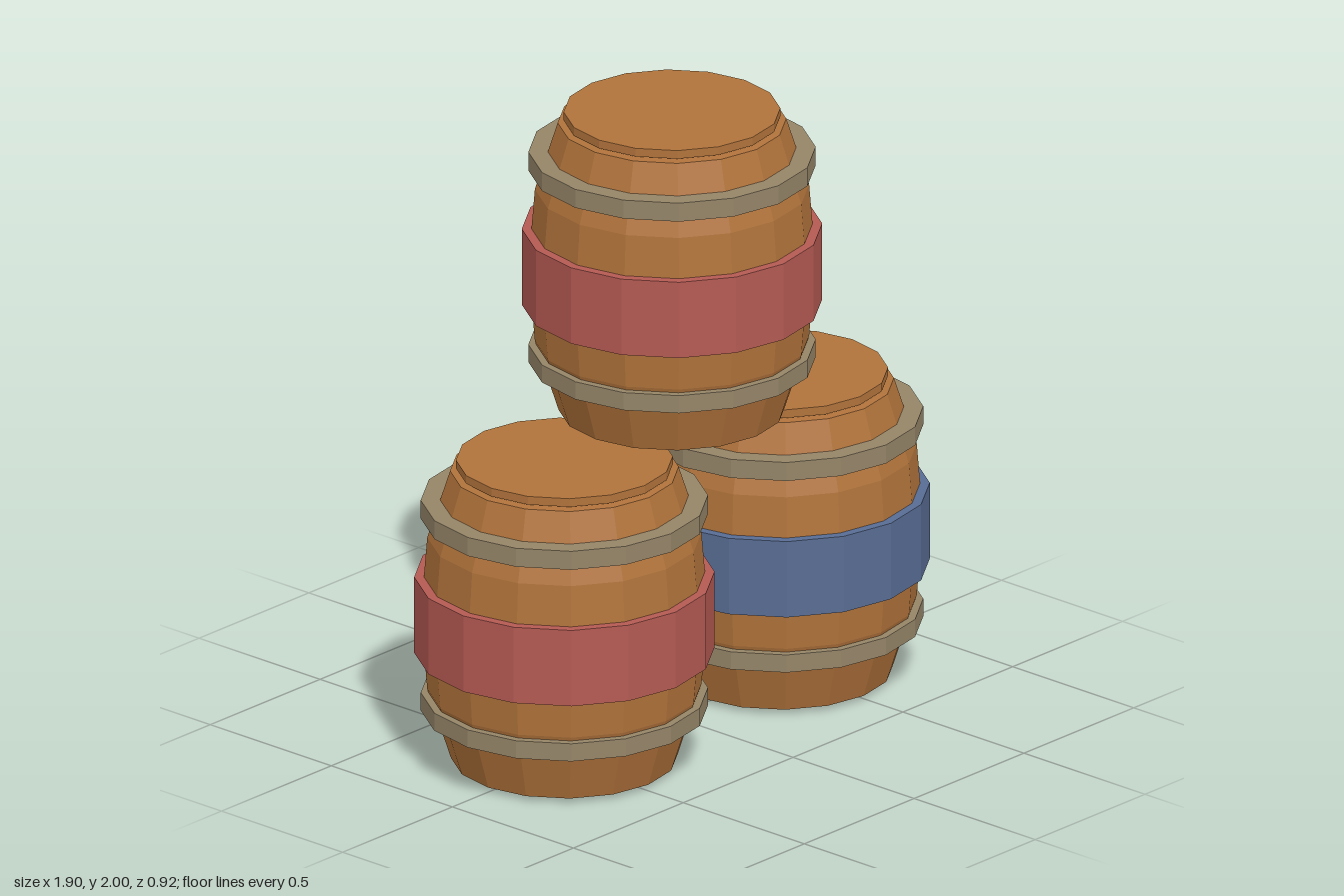
import * as THREE from 'three';

const SIDES = 16;

function material(name, color) {
  const m = new THREE.MeshStandardMaterial({ color, flatShading: true });
  m.name = name;
  return m;
}

// Faceted solid turned from a profile of [radius, height], bottom to top
function turned(name, profile, mat) {
  const points = profile.map(([r, y]) => new THREE.Vector2(r, y));
  const geometry = new THREE.LatheGeometry(points, SIDES).toNonIndexed();
  geometry.computeVertexNormals();
  const mesh = new THREE.Mesh(geometry, mat);
  mesh.name = name;
  return mesh;
}

// Square-edged ring around the staves
function ring(name, inner, outer, y0, y1, mat) {
  return turned(name, [[inner, y0], [outer, y0], [outer, y1], [inner, y1]], mat);
}

export function createModel() {
  const wood = material('wood', 0xb1733b);
  const iron = material('hoop metal', 0x958568);
  const red = material('red paint', 0xb55a53);
  const blue = material('blue paint', 0x586c93);

  function barrel(name, x, y, paint) {
    const group = new THREE.Group();
    group.name = name;
    group.position.set(x, y, 0);
    group.add(
      // Bulging body with a slightly domed base
      turned('body', [[0, 0.005], [0.347, 0.02], [0.42, 0.25], [0.44, 0.5],
        [0.42, 0.75], [0.35, 0.968], [0, 0.972]], wood),
      turned('lid', [[0, 0.976], [0.332, 0.976], [0.332, 1.003], [0, 1.003]], wood),
      ring('lowerHoop', 0.36, 0.44, 0.18, 0.238, iron),
      ring('upperHoop', 0.36, 0.44, 0.812, 0.873, iron),
      ring('paintedBand', 0.41, 0.46, 0.37, 0.62, paint),
    );
    return group;
  }

  // Two barrels side by side with a third on top
  const model = new THREE.Group();
  model.name = 'barrelStack';
  model.add(
    barrel('rightBarrel', -0.49, -0.005, red),
    barrel('leftBarrel', 0.49, -0.005, blue),
    barrel('topBarrel', 0, 0.997, red),
  );
  return model;
}
